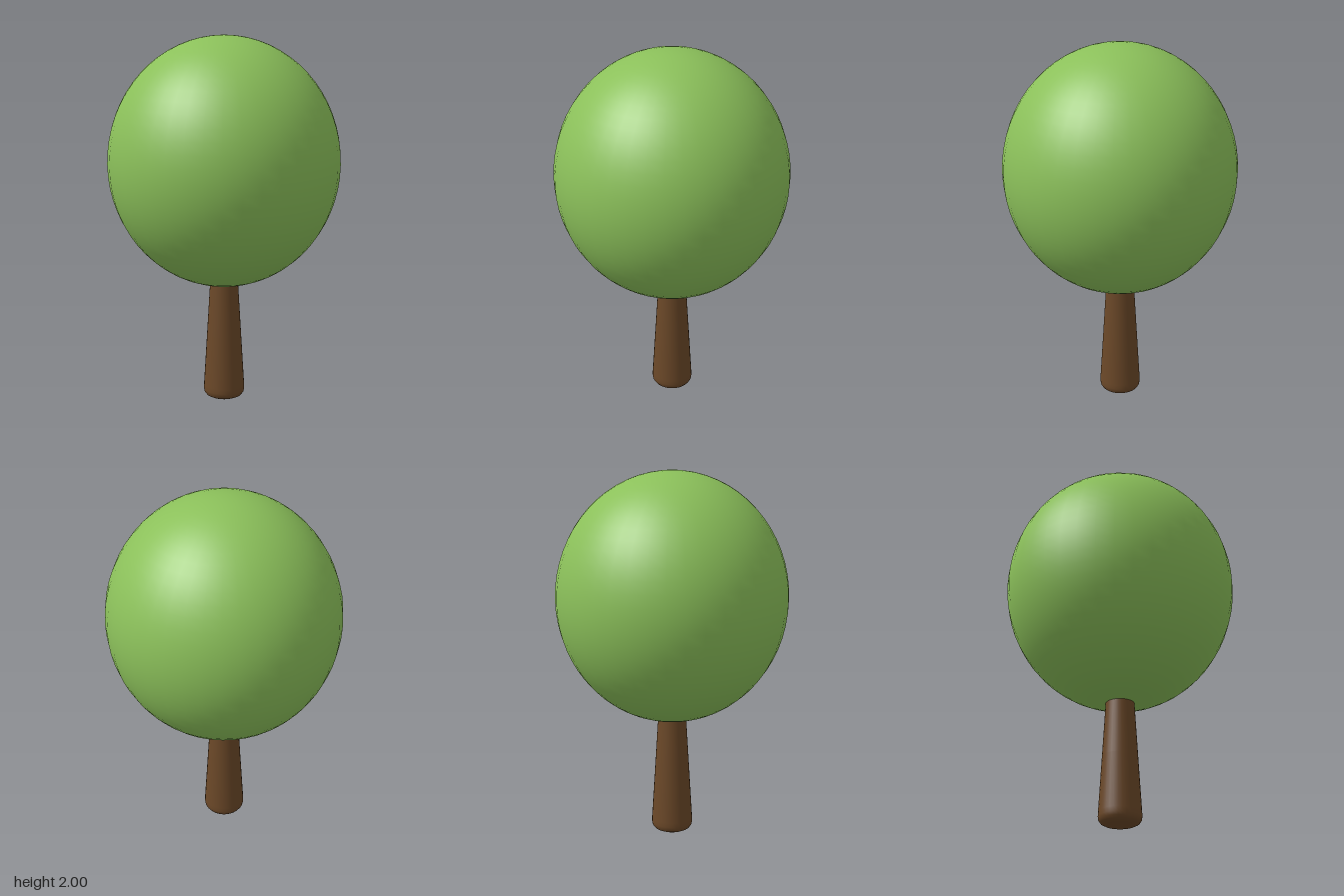
import * as THREE from 'three';

export function createModel() {
  const tree = new THREE.Group();
  tree.name = 'tree';

  // Tapered trunk with a softly rounded foot, its top buried in the crown
  const profile = [
    [0, 0], [0.05, 0.003], [0.08, 0.008], [0.1, 0.018], [0.11, 0.032],
    [0.113, 0.05], [0.112, 0.075], [0.094, 0.37], [0.076, 0.67], [0.075, 0.72], [0, 0.72],
  ].map(([r, y]) => new THREE.Vector2(r, y));
  const trunk = new THREE.Mesh(
    new THREE.LatheGeometry(profile, 32),
    new THREE.MeshStandardMaterial({ color: 0x6b4828 }),
  );
  trunk.name = 'trunk';
  tree.add(trunk);

  // Egg-round crown, slightly taller than wide
  const crownGeometry = new THREE.SphereGeometry(1, 40, 32);
  crownGeometry.scale(0.622, 0.671, 0.622);
  crownGeometry.translate(0, 1.329, 0);
  const crown = new THREE.Mesh(
    crownGeometry,
    new THREE.MeshStandardMaterial({ color: 0x8bc05a }),
  );
  crown.name = 'crown';
  tree.add(crown);

  return tree;
}
